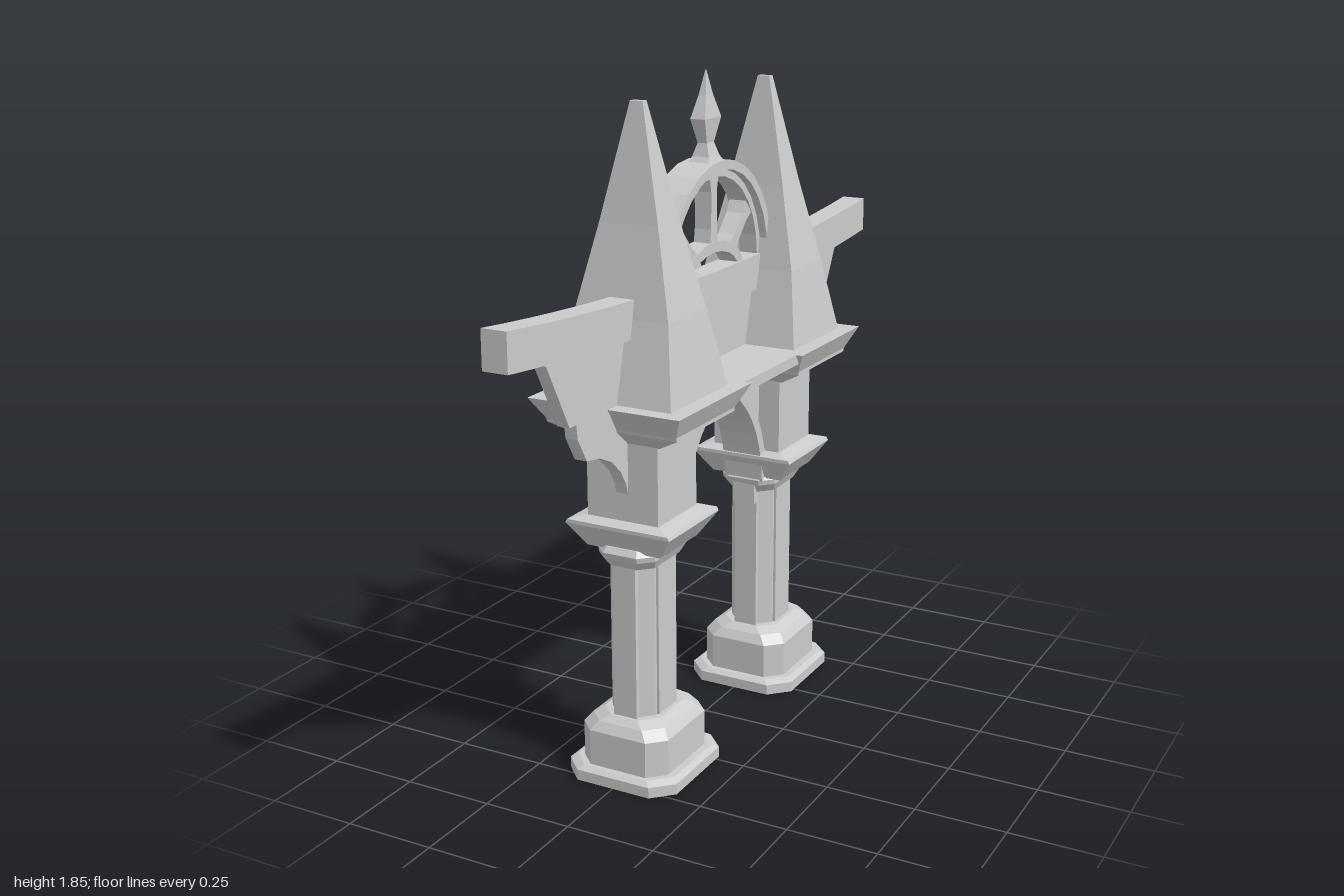
import * as THREE from 'three';

const grey = new THREE.MeshStandardMaterial({ color: 0xcccccc, flatShading: true });
const thin = new THREE.MeshStandardMaterial({ color: 0xcccccc, flatShading: true, side: THREE.DoubleSide });

function add(parent, name, geometry, material = grey) {
  const mesh = new THREE.Mesh(geometry, material);
  mesh.name = name;
  parent.add(mesh);
  return mesh;
}

function box(parent, name, w, h, d, x, y, z) {
  return add(parent, name, new THREE.BoxGeometry(w, h, d).translate(x, y, z));
}

// Stacked sections [y, halfX, halfZ], with corners cut by c (0 = square)
function loft(sections, c = 0) {
  const rings = sections.map(([y, hx, hz]) => {
    const p = c
      ? [[hx, hz - c], [hx, c - hz], [hx - c, -hz], [c - hx, -hz], [-hx, c - hz], [-hx, hz - c], [c - hx, hz], [hx - c, hz]]
      : [[hx, hz], [hx, -hz], [-hx, -hz], [-hx, hz]];
    return p.map(([x, z]) => [x, y, z]);
  });
  const n = rings[0].length, pos = [];
  const tri = (...v) => v.forEach(p => pos.push(...p));
  for (let r = 0; r + 1 < rings.length; r++) {
    for (let i = 0; i < n; i++) {
      const j = (i + 1) % n, a = rings[r], b = rings[r + 1];
      tri(a[i], a[j], b[j]);
      tri(a[i], b[j], b[i]);
    }
  }
  const bottom = rings[0], top = rings[rings.length - 1];
  for (let i = 1; i + 1 < n; i++) {
    tri(bottom[0], bottom[i + 1], bottom[i]);
    tri(top[0], top[i], top[i + 1]);
  }
  const g = new THREE.BufferGeometry();
  g.setAttribute('position', new THREE.Float32BufferAttribute(pos, 3));
  g.computeVertexNormals();
  return g;
}

// Side profile of [z, y] points given a thickness along x
function slab(points, width, x = 0) {
  const shape = new THREE.Shape(points.map(p => new THREE.Vector2(...p)));
  return new THREE.ExtrudeGeometry(shape, { depth: width, bevelEnabled: false })
    .translate(0, 0, -width / 2).rotateY(-Math.PI / 2).translate(x, 0, 0);
}

function arc(cy, rz, ry, n, from = 0, to = Math.PI) {
  return Array.from({ length: n + 1 }, (_, i) => {
    const t = from + (to - from) * i / n;
    return [rz * Math.cos(t), cy + ry * Math.sin(t)];
  });
}

// Pointed arch from +z springing over the apex to -z springing
function pointed(hz, spring, apex, n = 8) {
  const curve = new THREE.QuadraticBezierCurve(
    new THREE.Vector2(hz, spring), new THREE.Vector2(hz * 0.95, spring + (apex - spring) * 0.7), new THREE.Vector2(0, apex));
  const half = curve.getPoints(n).map(p => [p.x, p.y]);
  return [...half, ...half.slice(0, -1).reverse().map(([z, y]) => [-z, y])];
}

// Concave four-sided spire, with a small pointed opening on the -x face
function spire() {
  const g = new THREE.Group();
  g.name = 'spire';
  const levels = [[1.06, 0.172, 0.152], [1.27, 0.137, 0.1], [1.5, 0.085, 0.055], [1.8, 0.018, 0.01]];
  for (let k = 0; k < 4; k++) {
    const u = k % 2 ? 2 : 1, d = 3 - u;
    for (let i = 0; i < 3; i++) {
      const a = levels[i], b = levels[i + 1];
      const shape = new THREE.Shape([[-a[u], a[0]], [a[u], a[0]], [b[u], b[0]], [-b[u], b[0]]].map(p => new THREE.Vector2(...p)));
      if (k === 3 && i === 0) {
        shape.holes.push(new THREE.Path(pointed(0.038, 1.1, 1.19, 4).concat([[-0.038, 1.075], [0.038, 1.075]]).map(p => new THREE.Vector2(...p))));
      }
      const geo = new THREE.ShapeGeometry(shape), p = geo.attributes.position;
      for (let v = 0; v < p.count; v++) {
        p.setZ(v, a[d] + (b[d] - a[d]) * (p.getY(v) - a[0]) / (b[0] - a[0]));
      }
      geo.rotateY(k * Math.PI / 2).computeVertexNormals();
      add(g, 'spireFace', geo, thin);
    }
  }
  box(g, 'spireTip', 0.036, 0.004, 0.02, 0, 1.798, 0);
  box(g, 'openingBack', 0.02, 0.16, 0.12, -0.1, 1.14, 0);
  return g;
}

function tower() {
  const g = new THREE.Group();
  g.name = 'tower';
  add(g, 'plinth', loft([[0, 0.165, 0.175], [0.03, 0.165, 0.175], [0.04, 0.15, 0.16]], 0.055));
  add(g, 'base', loft([[0.04, 0.13, 0.147], [0.14, 0.13, 0.147], [0.165, 0.11, 0.13], [0.18, 0.085, 0.11]], 0.045));
  add(g, 'shaft', loft([[0.17, 0.066, 0.092], [0.64, 0.066, 0.092]], 0.035));
  box(g, 'shaftSidePanel', 0.146, 0.46, 0.095, 0, 0.41, 0);
  box(g, 'shaftEndPanel', 0.07, 0.46, 0.206, 0, 0.41, 0);
  add(g, 'collar', loft([[0.605, 0.073, 0.102], [0.63, 0.085, 0.118], [0.645, 0.085, 0.122], [0.66, 0.08, 0.11]], 0.035));
  add(g, 'capital', loft([[0.65, 0.11, 0.1], [0.715, 0.155, 0.135], [0.725, 0.15, 0.135], [0.735, 0.11, 0.105]]));
  box(g, 'pier', 0.21, 0.24, 0.205, 0, 0.84, 0);
  add(g, 'cornice', loft([[0.945, 0.11, 0.1], [0.99, 0.19, 0.155], [1.0, 0.19, 0.158], [1.06, 0.22, 0.197]]));
  g.add(spire());
  return g;
}

export function createModel() {
  const model = new THREE.Group();
  model.name = 'gateway';

  // Two towers, each with an outer bracket fin
  const fin = [[0.3, 1.23], [0.82, 1.235], [0.725, 1.06], [0.695, 1.06], [0.69, 1.02], [0.65, 0.955],
    [0.59, 0.945], [0.535, 0.92], [0.49, 0.88], [0.465, 0.84], [0.452, 0.8], [0.3, 0.8]];
  for (const s of [1, -1]) {
    const t = tower();
    t.position.z = 0.353 * s;
    model.add(t);
    add(model, 'bracketFin', slab(fin.map(([z, y]) => [z * s, y]), 0.035));
    box(model, 'archCorbel', 0.07, 0.08, 0.03, 0, 0.61, 0.25 * s);
  }

  // Upswept beam
  const zs = Array.from({ length: 21 }, (_, i) => -1 + i / 10);
  add(model, 'beam', slab([
    ...zs.map(z => [z, 1.21 + 0.05 * z * z]),
    ...zs.slice().reverse().map(z => [z, 1.31 + 0.05 * z * z]),
  ], 0.07));

  // Pointed arch, wall and ledge between the towers
  const inner = pointed(0.235, 0.64, 0.98);
  add(model, 'spandrel', slab([...inner, [-0.3, 0.64], [-0.3, 1.04], [0.3, 1.04], [0.3, 0.64]], 0.08));
  add(model, 'archMoulding', slab([...inner, ...pointed(0.265, 0.64, 1.015).reverse()], 0.12));
  box(model, 'ledge', 0.4, 0.03, 0.4, 0, 1.045, 0);
  box(model, 'upperWall', 0.04, 0.18, 0.5, 0, 1.14, 0);
  add(model, 'plaque', slab([...pointed(0.045, 1.26, 1.345, 5), [-0.045, 1.06], [0.045, 1.06]], 0.02, -0.04));

  // Openwork wheel above the beam
  const ring = (rz, ry, t, cy, n) => [...arc(cy, rz, ry, n), ...arc(cy, rz - t, ry - t, n).reverse()];
  add(model, 'wheelRim', slab(ring(0.3, 0.3, 0.025, 1.31, 14), 0.1));
  add(model, 'wheelInnerRim', slab(ring(0.28, 0.28, 0.025, 1.31, 14), 0.055));
  add(model, 'wheelHub', slab(ring(0.17, 0.1, 0.03, 1.29, 10), 0.055));
  for (const a of [-1, 0, 1]) {
    const from = [0.11 * a, a ? 1.355 : 1.375], to = [0.205 * a, a ? 1.455 : 1.575];
    const len = Math.hypot(to[0] - from[0], to[1] - from[1]);
    const nz = (to[1] - from[1]) / len, ny = -(to[0] - from[0]) / len;
    const edge = s => [[0, 0.024], [0.25, 0.016], [0.75, 0.016], [1, 0.026]].map(([t, w]) => [
      from[0] + (to[0] - from[0]) * t + nz * w * s, from[1] + (to[1] - from[1]) * t + ny * w * s]);
    add(model, 'wheelSpoke', slab([...edge(1), ...edge(-1).reverse()], 0.05));
  }

  // Pointed finial
  add(model, 'finial', loft([[1.595, 0.035, 0.05], [1.62, 0.025, 0.03], [1.655, 0.014, 0.02],
    [1.72, 0.022, 0.046], [1.78, 0.011, 0.02], [1.845, 0.001, 0.001]]));
  return model;
}
